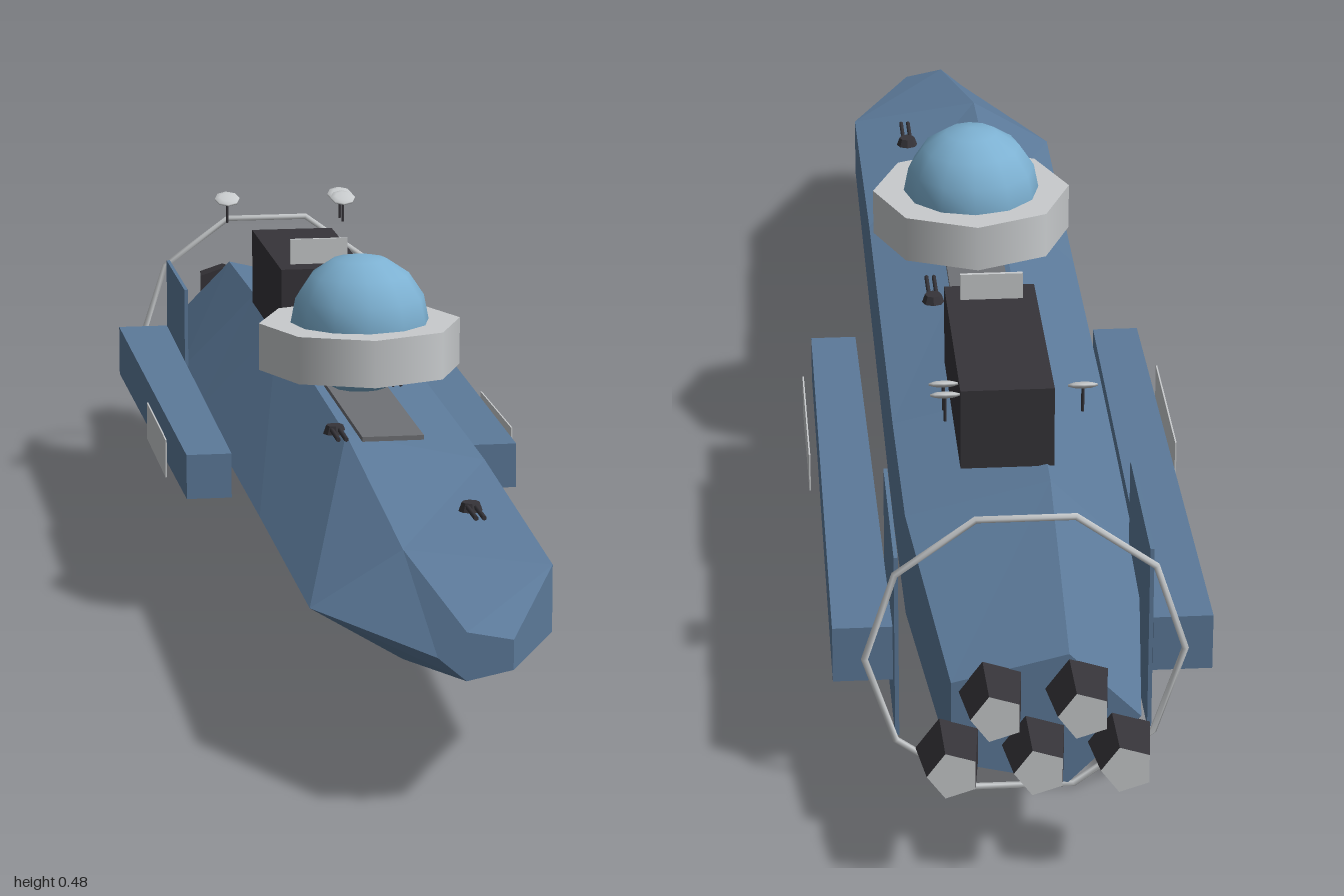
import * as THREE from 'three';

const mat = (name, color) => {
  const m = new THREE.MeshStandardMaterial({ color });
  m.name = name;
  return m;
};

// Split vertices so every face is shaded flat
function flat(geo) {
  const g = geo.index ? geo.toNonIndexed() : geo;
  g.computeVertexNormals();
  return g;
}

// Five-sided hull lofted through sections [z, radiusX, radiusY]
function hullGeometry(sections, centreY) {
  const n = 5, pos = [], idx = [];
  for (const [z, rx, ry] of sections) {
    for (let i = 0; i < n; i++) {
      const a = Math.PI + (i / n) * Math.PI * 2;
      pos.push(Math.cos(a) * rx, centreY + Math.sin(a) * ry, z);
    }
  }
  const last = (sections.length - 1) * n;
  for (let s = 0; s < last; s += n) {
    for (let i = 0; i < n; i++) {
      const j = (i + 1) % n;
      idx.push(s + i, s + j, s + n + j, s + i, s + n + j, s + n + i);
    }
  }
  for (let i = 1; i < n - 1; i++) {
    idx.push(last, last + i, last + i + 1);
    idx.push(0, i + 1, i);
  }
  const g = new THREE.BufferGeometry();
  g.setAttribute('position', new THREE.Float32BufferAttribute(pos, 3));
  g.setIndex(idx);
  return flat(g);
}

export function createModel() {
  const blue = mat('hull blue', 0x5c7a9a);
  const dark = mat('charcoal', 0x363439);
  const light = mat('light grey', 0xc8cbcd);
  const grey = mat('mid grey', 0x707276);
  const glass = mat('dome blue', 0x7db1d2);

  const model = new THREE.Group();
  const add = (name, geo, material, x = 0, y = 0, z = 0, parent = model) => {
    const m = new THREE.Mesh(geo, material);
    m.name = name;
    m.position.set(x, y, z);
    parent.add(m);
    return m;
  };
  const box = (w, h, d) => new THREE.BoxGeometry(w, h, d);

  // Main hull, rear to nose
  add('hull', hullGeometry([
    [-0.935, 0.122, 0.09],
    [-0.55, 0.16, 0.116],
    [-0.3, 0.162, 0.119],
    [0.33, 0.16, 0.109],
    [0.77, 0.16, 0.07],
    [1, 0.048, 0.03],
  ], 0.187), blue);

  // Observation dome and its collar
  add('domeCollar', new THREE.CylinderGeometry(0.133, 0.133, 0.062, 8), light, 0, 0.364, 0.127);
  add('dome', new THREE.SphereGeometry(0.092, 12, 8), glass, 0, 0.392, 0.127);
  add('deckPlate', box(0.078, 0.006, 0.41), grey, -0.002, 0.302, 0.205);

  // Upper deckhouse with a sensor panel
  add('deckhouse', box(0.116, 0.106, 0.306), dark, 0, 0.348, -0.353);
  add('sensorPanel', box(0.08, 0.036, 0.005), light, 0, 0.418, -0.24);

  // Side pods, outer panels and rear fins
  const podGeo = new THREE.CylinderGeometry(0.03 * Math.SQRT2, 0.036 * Math.SQRT2, 0.815, 4);
  podGeo.rotateY(Math.PI / 4).rotateX(Math.PI / 2);
  for (const side of [1, -1]) {
    add('sidePod', flat(podGeo), blue, side * 0.192, 0.177, -0.343);
    add('podPanel', box(0.002, 0.052, 0.23), light, side * 0.237, 0.177, -0.16);
    add('rearFin', box(0.005, 0.242, 0.23), blue, side * 0.152, 0.19, -0.645);
  }

  // Ten-sided hoop around the stern
  add('sternHoop', new THREE.TorusGeometry(0.191, 0.0045, 5, 10), light, 0, 0.187, -0.78);

  // Engine nozzles: two above, three below
  const nozzleGeo = new THREE.CylinderGeometry(0.04, 0.031, 0.066, 5);
  nozzleGeo.rotateY(-Math.PI / 10 + Math.PI / 2 + Math.PI / 10).rotateX(Math.PI / 2);
  const nozzleFlat = flat(nozzleGeo);
  for (const [x, y] of [[-0.05, 0.228], [0.05, 0.228], [-0.1, 0.155], [0, 0.155], [0.1, 0.155]]) {
    const nozzle = add('engineNozzle', nozzleFlat, [dark, dark, light], x, y, -0.967);
    nozzle.userData.sides = 5;
  }

  // Tilted dish antennas on short masts
  for (const [x, z] of [[-0.086, -0.57], [0.082, -0.585], [0.082, -0.555]]) {
    const antenna = new THREE.Group();
    antenna.name = 'antenna';
    antenna.position.set(x, 0.436, z);
    model.add(antenna);
    add('mast', new THREE.CylinderGeometry(0.002, 0.002, 0.034, 5), dark, 0, -0.018, 0, antenna);
    const dish = add('dish', new THREE.SphereGeometry(0.019, 8, 5), light, 0, 0, 0, antenna);
    dish.scale.y = 0.22;
    dish.rotation.x = 0.4;
  }

  // Twin-barrel turrets above and below
  const baseGeo = flat(new THREE.CylinderGeometry(0.011, 0.015, 0.011, 8));
  const barrelGeo = new THREE.CylinderGeometry(0.003, 0.003, 0.06, 6).rotateX(Math.PI / 2);
  const spots = [[0.06, 0.262, 0.61], [-0.06, 0.292, 0.305], [0.06, 0.292, 0], [-0.06, 0.296, -0.305]];
  for (const [x, y, z] of spots) {
    for (const up of [true, false]) {
      const turret = new THREE.Group();
      turret.name = up ? 'upperTurret' : 'lowerTurret';
      turret.position.set(x, up ? y : 0.375 - y, z);
      if (!up) turret.rotation.z = Math.PI;
      model.add(turret);
      add('turretBase', baseGeo, dark, 0, 0, 0, turret);
      for (const s of [1, -1]) add('barrel', barrelGeo, dark, s * 0.005, 0.001, 0.035, turret);
    }
  }
  return model;
}
